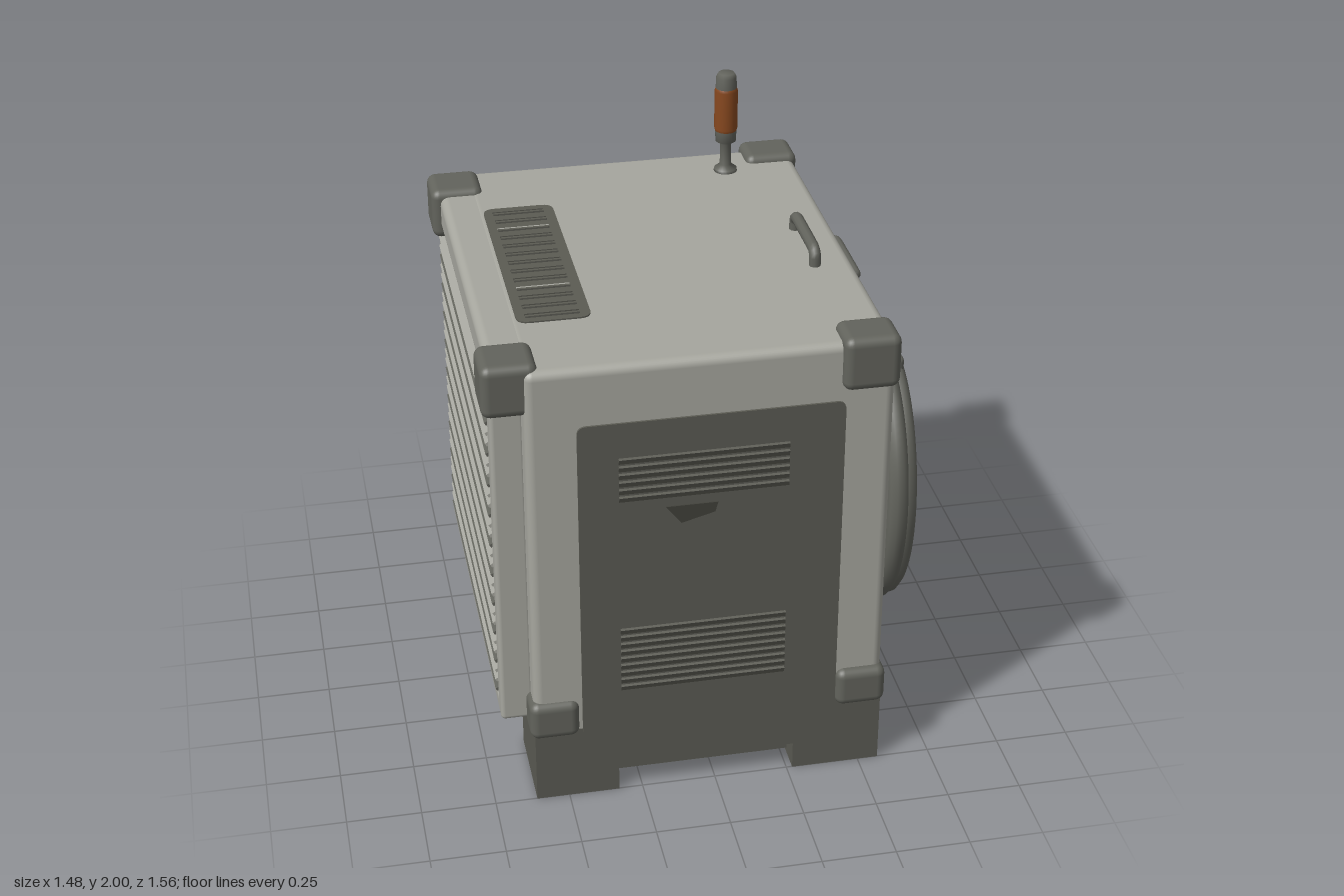
import * as THREE from 'three';
import { RoundedBoxGeometry } from 'three/addons/geometries/RoundedBoxGeometry.js';

const paint = (name, color) => {
  const m = new THREE.MeshStandardMaterial({ color });
  m.name = name;
  return m;
};

export function createModel() {
  const light = paint('light grey casing', 0xa6a69e);
  const dark = paint('dark grey panel', 0x5b5b53);
  const trim = paint('grey trim', 0x62635c);
  const slot = paint('slot shadow', 0x40403a);
  const orange = paint('orange', 0x87481f);
  const root = new THREE.Group();

  const add = (name, geo, mat, x = 0, y = 0, z = 0, parent = root) => {
    const m = new THREE.Mesh(geo, mat);
    m.name = name;
    m.position.set(x, y, z);
    parent.add(m);
    return m;
  };
  // box given by its limits, rounded when r > 0
  const box = (name, mat, x0, x1, y0, y1, z0, z1, r = 0, parent = root) => {
    const s = [x1 - x0, y1 - y0, z1 - z0];
    const g = r ? new RoundedBoxGeometry(...s, 3, r) : new THREE.BoxGeometry(...s);
    return add(name, g, mat, (x0 + x1) / 2, (y0 + y1) / 2, (z0 + z1) / 2, parent);
  };
  // thin plate with rounded corners, lying in xy and facing +z
  const plateGeo = (w, h, r, d) => {
    const s = new THREE.Shape(), a = w / 2, b = h / 2;
    s.moveTo(-a + r, -b).lineTo(a - r, -b).quadraticCurveTo(a, -b, a, -b + r);
    s.lineTo(a, b - r).quadraticCurveTo(a, b, a - r, b);
    s.lineTo(-a + r, b).quadraticCurveTo(-a, b, -a, b - r);
    s.lineTo(-a, -b + r).quadraticCurveTo(-a, -b, -a + r, -b);
    return new THREE.ExtrudeGeometry(s, { depth: d, bevelEnabled: false, curveSegments: 5 });
  };
  const sidePlate = (name, mat, z0, z1, y0, y1, r, d, x = 0.57) => {
    add(name, plateGeo(z1 - z0, y1 - y0, r, d), mat, x, (y0 + y1) / 2, (z0 + z1) / 2).rotation.y = Math.PI / 2;
  };
  const tube = (name, mat, pts, r, seg = 32, tension = 0.5) => {
    const c = new THREE.CatmullRomCurve3(pts.map(p => new THREE.Vector3(...p)), false, 'catmullrom', tension);
    return add(name, new THREE.TubeGeometry(c, seg, r, 10), mat);
  };
  const lathe = (name, mat, pts, x, y, z) =>
    add(name, new THREE.LatheGeometry(pts.map(p => new THREE.Vector2(...p)), 24), mat, x, y, z);

  // casing and the overhanging lid
  box('casing', light, -0.61, 0.57, 0.2, 1.63, -0.75, 0.75, 0.03);
  box('lidOverhang', light, -0.71, -0.5, 1.5, 1.628, -0.71, 0.71, 0.03);

  // base skid with feet and shallow fork pockets
  box('skid', dark, -0.61, 0.57, 0.1, 0.27, -0.752, 0.752);
  box('skidBelly', dark, -0.53, 0.49, 0.02, 0.11, -0.67, 0.67);
  for (const [x0, x1] of [[-0.61, -0.33], [0.27, 0.57]])
    for (const s of [-1, 1])
      box('foot', dark, x0, x1, 0, 0.11, s > 0 ? 0.43 : -0.752, s > 0 ? 0.752 : -0.43);

  // corner guards
  for (const s of [-1, 1]) {
    const guard = (x0, x1, y0, y1, zi, zo) =>
      box('cornerGuard', trim, x0, x1, y0, y1, Math.min(s * zi, s * zo), Math.max(s * zi, s * zo), 0.03);
    guard(-0.74, -0.56, 1.47, 1.65, 0.555, 0.735);
    guard(0.395, 0.58, 1.47, 1.655, 0.62, 0.78);
    guard(-0.625, -0.46, 0.25, 0.39, 0.62, 0.77);
    guard(0.41, 0.58, 0.25, 0.39, 0.62, 0.78);
  }

  // front and back service doors with vents and a latch
  for (const s of [1, -1]) {
    const door = new THREE.Group();
    door.name = s > 0 ? 'frontDoor' : 'backDoor';
    door.scale.set(s, 1, 1);
    if (s < 0) door.scale.x = 1;
    add('doorPanel', plateGeo(0.86, 1.2, 0.03, 0.009), dark, -0.02, 0.83, s > 0 ? 0.748 : -0.757, door);
    for (const [y0, n] of [[1.15, 6], [0.42, 9]])
      for (let i = 0; i < n; i++) {
        const y = y0 + i * 0.028, z = s * 0.758;
        box('ventSlot', slot, -0.32, 0.23, y - 0.005, y + 0.005, z - 0.003, z + 0.003, 0, door);
        const lip = box('ventLip', dark, -0.32, 0.23, y + 0.006, y + 0.014, z - 0.006, z + 0.006, 0, door);
        lip.rotation.x = s * 0.4;
      }
    if (s > 0) {
      const l = new THREE.Shape([[-0.17, 1.11], [-0.12, 1.045], [-0.01, 1.075], [-0.0, 1.11]].map(p => new THREE.Vector2(...p)));
      add('latch', new THREE.ExtrudeGeometry(l, { depth: 0.006, bevelEnabled: false }), slot, 0, 0, 0.755, door);
    } else {
      box('latchRecess', slot, 0.17, 0.23, 0.9, 1.06, -0.761, -0.755, 0, door);
      box('latch', light, 0.18, 0.215, 0.92, 1.03, -0.764, -0.756, 0, door);
    }
    root.add(door);
  }

  // radiator grille on the right flank
  box('grilleBacking', trim, -0.685, -0.6, 0.3, 1.52, -0.62, 0.62);
  for (const s of [-1, 1])
    box('grilleSideFrame', light, -0.71, -0.6, 0.28, 1.52, s > 0 ? 0.6 : -0.67, s > 0 ? 0.67 : -0.6, 0.015);
  box('grilleSill', light, -0.71, -0.6, 0.28, 0.34, -0.66, 0.66, 0.015);
  for (let i = 0; i < 30; i++)
    box('louver', i % 3 ? light : trim, -0.718, -0.675, 0.362 + i * 0.038, 0.374 + i * 0.038, -0.6, 0.6).rotation.z = 0.5;

  // roof vent
  add('roofVent', plateGeo(0.24, 0.84, 0.04, 0.008), dark, -0.46, 1.627, 0).rotation.x = -Math.PI / 2;
  for (let i = 0; i < 13; i++) {
    const z = -0.38 + i * 0.063;
    const gap = i === 2 || i === 9;
    box('roofSlot', gap ? light : slot, -0.55, -0.375, 1.633, 1.637, z - 0.007, z + 0.007);
    box('roofLip', dark, -0.55, -0.375, 1.63, 1.641, z + 0.008, z + 0.018);
  }

  // carry handles on the roof and the left flank
  tube('roofHandle', trim, [[0.44, 1.62, -0.08], [0.44, 1.665, -0.078], [0.44, 1.682, -0.05], [0.44, 1.682, 0.17],
    [0.44, 1.665, 0.198], [0.44, 1.62, 0.2]], 0.02, 40, 0.2);
  tube('sideHandle', trim, [[0.55, 1.48, -0.27], [0.625, 1.48, -0.268], [0.638, 1.48, -0.25], [0.638, 1.48, 0],
    [0.625, 1.48, 0.014], [0.55, 1.48, 0.016]], 0.016, 40, 0.2);

  // beacon
  lathe('beaconPole', trim, [[0, 0], [0.042, 0], [0.04, 0.015], [0.02, 0.03], [0.02, 0.11], [0.036, 0.12], [0.038, 0.16]], 0.31, 1.625, -0.59);
  lathe('beaconLamp', orange, [[0.038, 0], [0.041, 0.01], [0.041, 0.15], [0.037, 0.16]], 0.31, 1.785, -0.59);
  lathe('beaconCap', trim, [[0.037, 0], [0.036, 0.04], [0.028, 0.055], [0, 0.055]], 0.31, 1.945, -0.59);

  // hose hook
  sidePlate('hookPlate', trim, 0.135, 0.385, 1.26, 1.43, 0.05, 0.03);
  box('hook', trim, 0.57, 0.72, 1.165, 1.335, 0.15, 0.355, 0.02);

  // coiled hose: two turns, then a tail to the nozzle
  const hose = [];
  for (let i = 0; i <= 40; i++) {
    const t = (i / 40) * Math.PI * 4, k = i / 40;
    hose.push([0.615 + 0.075 * k, 0.875 - 0.02 * k + (0.445 - 0.015 * k) * Math.cos(t),
      0.285 - 0.04 * k - (0.335 - 0.025 * k) * Math.sin(t)]);
  }
  hose.push([0.69, 1.25, 0.09], [0.685, 1.13, -0.02], [0.675, 0.95, -0.1], [0.66, 0.78, -0.15]);
  tube('hose', trim, hose, 0.038, 240);

  // nozzle and its cradle
  lathe('nozzleCollar', trim, [[0.06, 0], [0.058, 0.03], [0.042, 0.09], [0, 0.09]], 0.66, 0.69, -0.155);
  lathe('nozzle', orange, [[0, 0], [0.058, 0], [0.068, 0.015], [0.064, 0.08], [0.083, 0.13], [0.084, 0.18],
    [0.062, 0.24], [0.062, 0.33], [0.055, 0.345]], 0.655, 0.355, -0.155);
  box('trigger', orange, 0.64, 0.67, 0.655, 0.68, -0.25, -0.2, 0.008);
  box('cradleArm', trim, 0.55, 0.64, 0.375, 0.555, -0.05, -0.01, 0.014);
  box('cradleArm', trim, 0.55, 0.705, 0.375, 0.555, -0.3, -0.265, 0.014);
  box('cradleBack', trim, 0.55, 0.59, 0.41, 0.52, -0.28, -0.03);

  // control panel, knob and label plate
  sidePlate('controlPanel', dark, -0.67, -0.38, 0.945, 1.36, 0.025, 0.007);
  sidePlate('screenRim', slot, -0.625, -0.41, 1.105, 1.305, 0.01, 0.004, 0.575);
  sidePlate('screen', trim, -0.615, -0.42, 1.115, 1.295, 0.008, 0.004, 0.577);
  sidePlate('panelSlot', light, -0.63, -0.48, 0.945, 0.96, 0.004, 0.004, 0.575);
  sidePlate('smallPlate', trim, -0.265, -0.175, 0.785, 0.975, 0.03, 0.007);
  lathe('knob', orange, [[0, 0], [0.046, 0], [0.042, 0.03], [0.036, 0.035], [0.034, 0.075], [0.03, 0.082], [0, 0.082]],
    0.57, 1.035, -0.43).rotation.z = -Math.PI / 2;

  return root;
}
